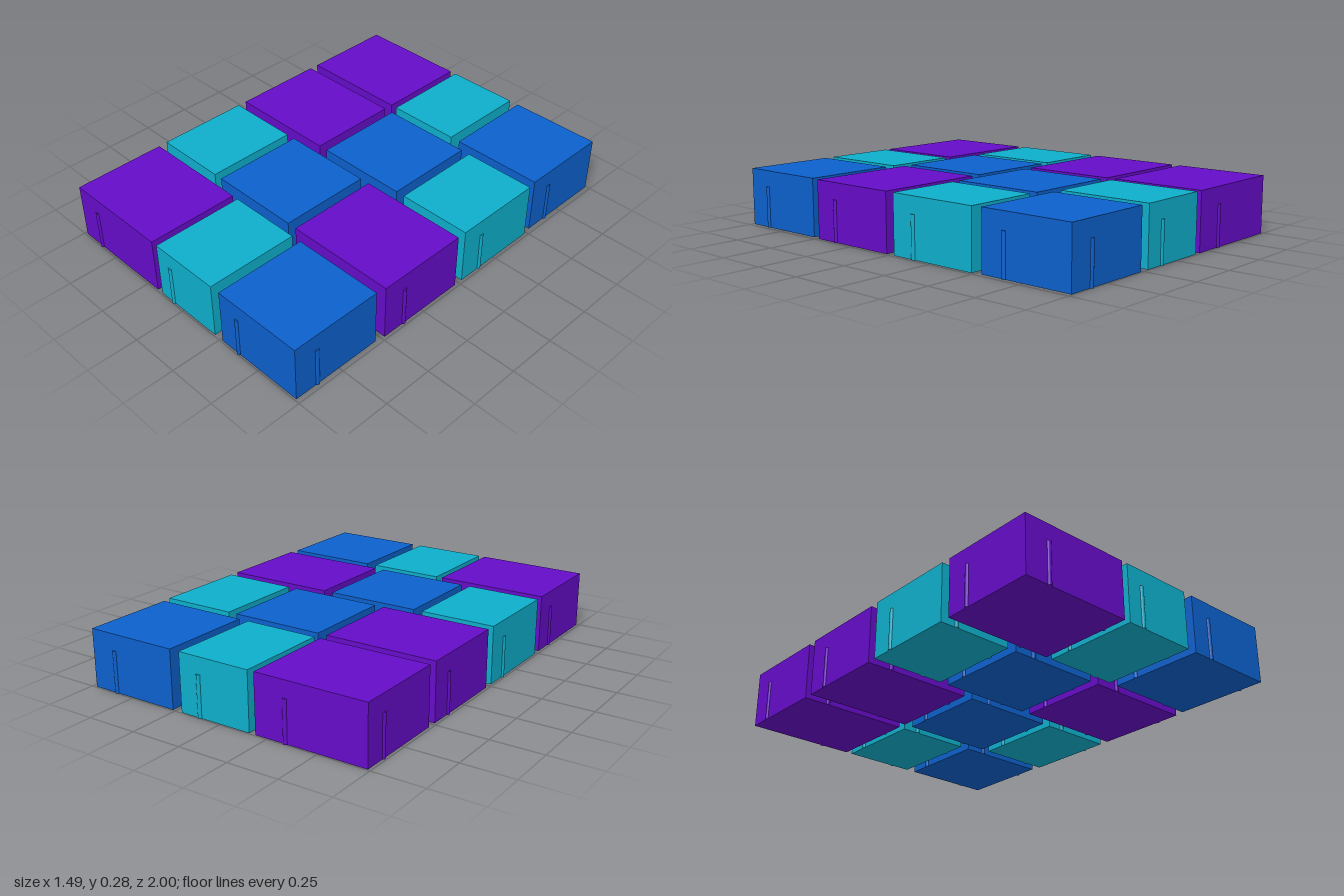
import * as THREE from 'three';

const HEIGHT = 0.28, DEPTH = 0.462, NUB_HEIGHT = 0.2, NUB_RADIUS = 0.0115, NUB_INSET = 0.004;

// Three stone sizes, each with its own colour
const stones = {
  large: { width: 0.55, material: new THREE.MeshStandardMaterial({ color: 0x650cc8 }) },
  medium: { width: 0.462, material: new THREE.MeshStandardMaterial({ color: 0x0c60cc }) },
  small: { width: 0.369, material: new THREE.MeshStandardMaterial({ color: 0x0eaecb }) },
};

// Each row: z centre, then stone size and x of its left edge as seen from the front
const outerRow = [['large', -0.737], ['small', -0.155], ['medium', 0.264]];
const rows = [
  { z: -0.763, stones: outerRow },
  { z: -0.255, stones: [['large', -0.738], ['medium', -0.141], ['small', 0.366]] },
  { z: 0.253, stones: [['small', -0.739], ['medium', -0.325], ['large', 0.185]] },
  { z: 0.761, stones: outerRow },
];

function makeStone(size) {
  const { width, material } = stones[size];
  const stone = new THREE.Group();
  stone.name = `${size}PavingStone`;

  const block = new THREE.Mesh(new THREE.BoxGeometry(width, HEIGHT, DEPTH), material);
  block.name = 'block';
  block.position.y = HEIGHT / 2;
  stone.add(block);

  // One spacer nub on each side face, half sunk into the block
  const x = width / 2 - NUB_INSET, z = DEPTH / 2 - NUB_INSET;
  const nubs = {
    frontSpacer: [-0.27 * width, z],
    backSpacer: [0.222 * width, -z],
    leftSpacer: [x, 0.24 * DEPTH],
    rightSpacer: [-x, -0.255 * DEPTH],
  };
  for (const [name, [nx, nz]] of Object.entries(nubs)) {
    const nub = new THREE.Mesh(new THREE.CylinderGeometry(NUB_RADIUS, NUB_RADIUS, NUB_HEIGHT, 16), material);
    nub.name = name;
    nub.position.set(nx, NUB_HEIGHT / 2, nz);
    stone.add(nub);
  }
  return stone;
}

export function createModel() {
  const model = new THREE.Group();
  model.name = 'pavingStones';
  rows.forEach((row, i) => {
    const group = new THREE.Group();
    group.name = `row${i + 1}`;
    for (const [size, edge] of row.stones) {
      const stone = makeStone(size);
      stone.position.set(edge + stones[size].width / 2, 0, row.z);
      group.add(stone);
    }
    model.add(group);
  });
  return model;
}
